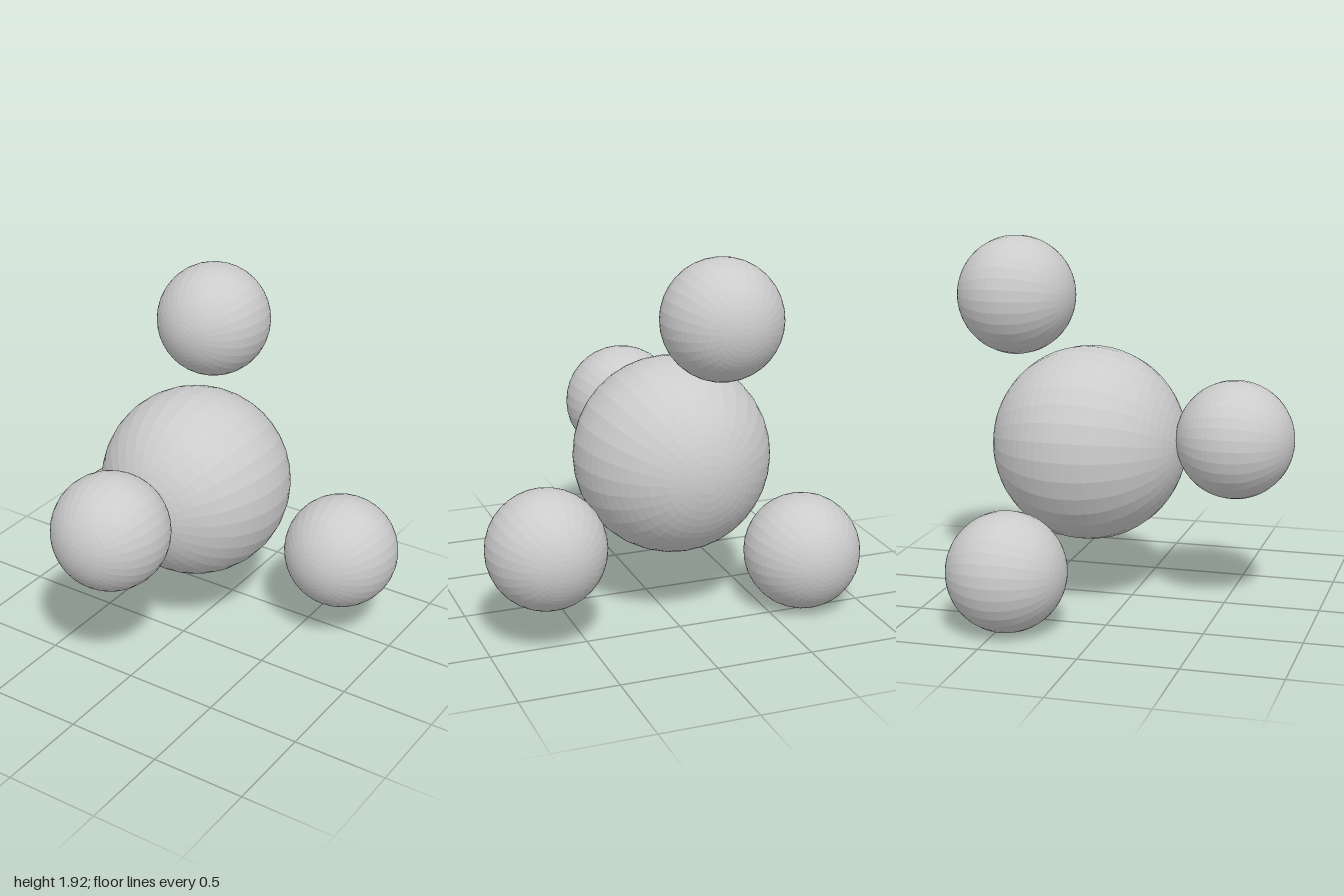
import * as THREE from 'three';

export function createModel() {
  const group = new THREE.Group();
  const material = new THREE.MeshStandardMaterial({ color: 0xcccccc, flatShading: true });

  // Faceted ball with its poles on the z axis
  function addBall(name, radius, x, y, z) {
    const geometry = new THREE.SphereGeometry(radius, 32, 32).rotateX(Math.PI / 2);
    const ball = new THREE.Mesh(geometry, material);
    ball.name = name;
    ball.position.set(x, y, z);
    group.add(ball);
  }

  // Large central ball
  addBall('centralBall', 0.505, -0.06, 0.837, -0.21);

  // Four equal balls around it in a tetrahedral arrangement
  const r = 0.303;
  addBall('topBall', r, -0.182, 1.614, -0.56);
  addBall('frontBall', r, -0.062, 0.896, 0.56);
  addBall('leftBall', r, 0.694, 0.517, -0.472);
  addBall('rightBall', r, -0.697, 0.305, -0.455);

  return group;
}
